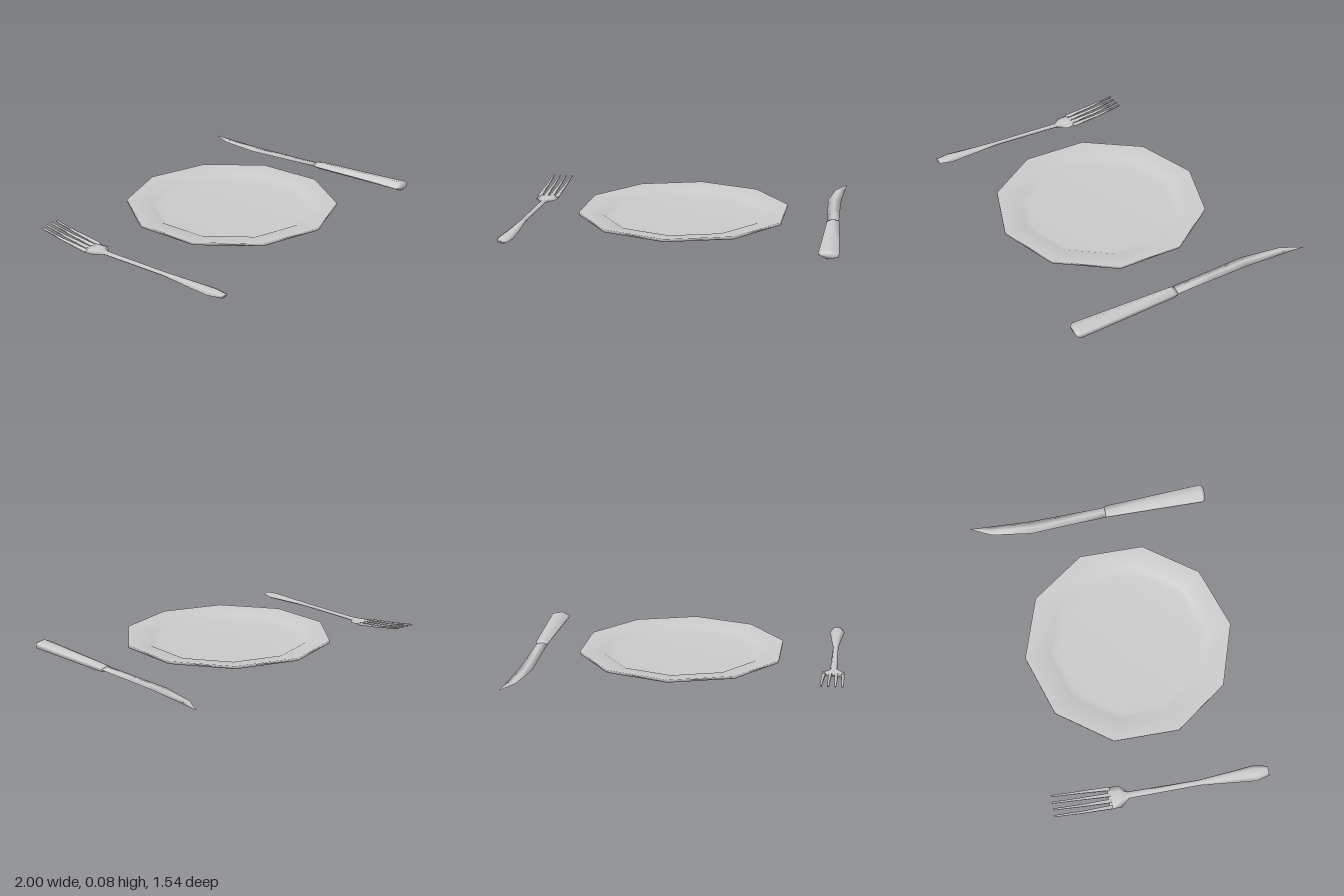
import * as THREE from 'three';

const material = new THREE.MeshStandardMaterial({ color: 0xcccccc, side: THREE.DoubleSide });

// Unit cross-sections, counter-clockwise seen from +z
const SQUARE = [[1, -1], [1, 1], [-1, 1], [-1, -1]];
const DIAMOND = [[1, 0], [0, 1], [-1, 0], [0, -1]];
const BEVELLED = [[1, 0], [0.5, 1], [-0.5, 1], [-1, 0], [-0.5, -1], [0.5, -1]];
const GRIP = [[1, -0.5], [1, 0.5], [-0.1, 1], [-1, 0.15], [-1, -0.15], [-0.1, -1]];

// Solid through sections [z, xMin, xMax, yMin, yMax], listed by rising z
function loft(name, shape, sections) {
  const n = shape.length, last = (sections.length - 1) * n;
  const positions = [], index = [];
  for (const [z, x0, x1, y0, y1] of sections) {
    for (const [u, v] of shape) {
      positions.push((x0 + x1) / 2 + u * (x1 - x0) / 2, (y0 + y1) / 2 + v * (y1 - y0) / 2, z);
    }
  }
  for (let i = 0; i < last; i += n) {
    for (let j = 0; j < n; j++) {
      const k = (j + 1) % n;
      index.push(i + j, i + k, i + n + j, i + k, i + n + k, i + n + j);
    }
  }
  for (let j = 1; j < n - 1; j++) {
    index.push(0, j + 1, j, last, last + j, last + j + 1);
  }
  const geometry = new THREE.BufferGeometry();
  geometry.setAttribute('position', new THREE.Float32BufferAttribute(positions, 3));
  geometry.setIndex(index);
  geometry.computeVertexNormals();
  const mesh = new THREE.Mesh(geometry, material);
  mesh.name = name;
  return mesh;
}

// Ten-sided plate with a sloping rim and a shallow well
function createPlate() {
  const profile = [
    [0, 0.008], [0.437, 0.008], [0.49, 0.026], [0.645, 0.053],
    [0.645, 0.07], [0.5, 0.048], [0.45, 0.022], [0, 0.022],
  ].map(([r, y]) => new THREE.Vector2(r, y));
  const plate = new THREE.Mesh(new THREE.LatheGeometry(profile, 10), material);
  plate.name = 'plate';
  plate.position.set(0.012, 0, 0.087);
  return plate;
}

function createFork() {
  const fork = new THREE.Group();
  fork.name = 'fork';
  const mid = -0.933;
  const section = (z, halfWidth, y0, y1) => [z, mid - halfWidth, mid + halfWidth, y0, y1];

  // Head, neck and flared handle
  fork.add(loft('forkHandle', BEVELLED, [
    section(-0.205, 0.067, 0.013, 0.028),
    section(-0.135, 0.067, 0.009, 0.025),
    section(-0.085, 0.021, 0.008, 0.026),
    section(0.35, 0.017, 0.008, 0.026),
    section(0.69, 0.049, 0, 0.024),
    section(0.77, 0.03, 0.004, 0.022),
  ]));

  // Four tapering tines that curve upwards
  for (let i = 0; i < 4; i++) {
    const x = mid + (i - 1.5) * 0.0405;
    const base = mid + (i - 1.5) * 0.0375;
    fork.add(loft('tine', SQUARE, [
      [-0.54, x - 0.005, x + 0.005, 0.067, 0.075],
      [-0.37, x - 0.007, x + 0.007, 0.037, 0.048],
      [-0.19, base - 0.011, base + 0.011, 0.013, 0.028],
    ]));
  }
  return fork;
}

function createKnife() {
  const knife = new THREE.Group();
  knife.name = 'knife';
  // Thin swept blade
  knife.add(loft('blade', DIAMOND, [
    [-0.77, 0.951, 0.954, 0.034, 0.036],
    [-0.64, 0.888, 0.949, 0.031, 0.039],
    [-0.39, 0.855, 0.94, 0.03, 0.04],
    [-0.15, 0.87, 0.947, 0.028, 0.042],
    [0.13, 0.885, 0.957, 0.025, 0.045],
  ]));
  // Thick faceted grip
  knife.add(loft('knifeHandle', GRIP, [
    [0.1, 0.886, 0.957, 0.016, 0.054],
    [0.12, 0.885, 0.961, 0.012, 0.058],
    [0.735, 0.884, 1, 0.006, 0.064],
    [0.755, 0.9, 0.985, 0.014, 0.056],
  ]));
  return knife;
}

export function createModel() {
  const model = new THREE.Group();
  model.name = 'placeSetting';
  model.add(createPlate(), createFork(), createKnife());
  return model;
}
